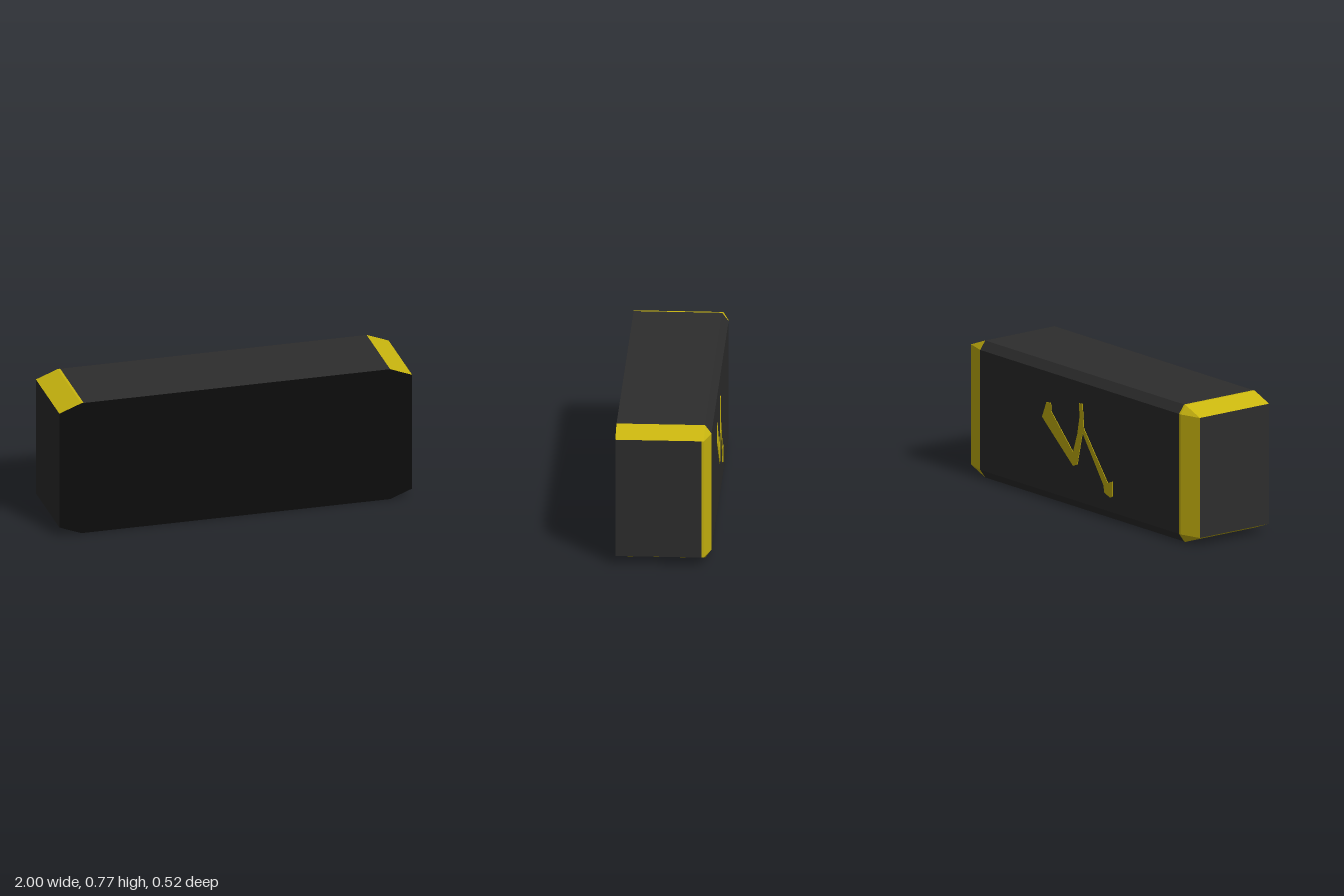
import * as THREE from 'three';

// Block outline: outer half width, chamfer start, heights and depths
const W = 1, C = 0.875, T = 0.775, YH = 0.727, YL = 0.048;
const F = 0.26, R = -0.225, B = -0.26;
const SEAM = -0.862;       // paint edge on the right end
const SIDE = -0.212;       // paint edge on the left end face
const CENTRE = new THREE.Vector3(0, T / 2, 0);

// Convex faces made from corner lists, wound to point away from the centre
function facesGeometry(faces) {
  const positions = [];
  for (const face of faces) {
    const p = face.map((c) => new THREE.Vector3(...c));
    const normal = p[1].clone().sub(p[0]).cross(p[2].clone().sub(p[0]));
    if (normal.dot(p[0].clone().sub(CENTRE)) < 0) p.reverse();
    for (let i = 1; i < p.length - 1; i++) {
      for (const v of [p[0], p[i], p[i + 1]]) positions.push(v.x, v.y, v.z);
    }
  }
  const g = new THREE.BufferGeometry();
  g.setAttribute('position', new THREE.Float32BufferAttribute(positions, 3));
  g.computeVertexNormals();
  return g;
}

// Rectangle swept along x between two (y, z) points
const alongX = (x0, x1, [ya, za], [yb, zb]) =>
  [[x0, ya, za], [x1, ya, za], [x1, yb, zb], [x0, yb, zb]];

// Rectangle swept along z between two (x, y) points
const alongZ = (z0, z1, [xa, ya], [xb, yb]) =>
  [[xa, ya, z0], [xa, ya, z1], [xb, yb, z1], [xb, yb, z0]];

// Rectangle swept along y between two (x, z) points
const alongY = (y0, y1, [xa, za], [xb, zb]) =>
  [[xa, y0, za], [xa, y1, za], [xb, y1, zb], [xb, y0, zb]];

export function createModel() {
  const charcoal = new THREE.MeshStandardMaterial({ color: 0x2d2d2d });
  charcoal.name = 'charcoal';
  const black = new THREE.MeshStandardMaterial({ color: 0x0c0c0c });
  black.name = 'black';
  const yellow = new THREE.MeshStandardMaterial({ color: 0xcab60f });
  yellow.name = 'yellow';

  const model = new THREE.Group();
  model.name = 'chamferedBlock';
  const add = (name, geometry, material) => {
    const mesh = new THREE.Mesh(geometry, material);
    mesh.name = name;
    model.add(mesh);
  };

  // Front panel
  add('frontPanel', facesGeometry([[
    [-C, 0, F], [C, 0, F], [W, YL, F], [W, YH, F],
    [C, T, F], [-C, T, F], [-W, YH, F], [-W, YL, F],
  ]]), black);

  // Charcoal panels: top, bottom, their back bevels, back and both ends
  add('bodyPanels', facesGeometry([
    alongX(SEAM, C, [T, F], [T, R]),
    alongX(SEAM, C, [0, F], [0, R]),
    alongX(SEAM, C, [T, R], [YH, B]),
    alongX(SEAM, C, [0, R], [YL, B]),
    alongX(SEAM, C, [YL, B], [YH, B]),
    alongY(YL, YH, [W, F], [W, SIDE]),
    alongY(YL, YH, [-W, F], [-W, R]),
  ]), charcoal);

  // Yellow bevels around each end
  for (const s of [1, -1]) {
    const faces = [alongY(YL, YH, [s * W, R], [s * C, B])];
    for (const [outer, inner] of [[T, YH], [0, YL]]) {
      faces.push(alongZ(R, F, [s * C, outer], [s * W, inner]));
      faces.push([[s * C, outer, R], [s * W, inner, R], [s * C, inner, B]]);
    }
    add(s > 0 ? 'leftBevels' : 'rightBevels', facesGeometry(faces), yellow);
  }

  // Narrow yellow margins beside the bevels
  add('bevelMargins', facesGeometry([
    alongX(-C, SEAM, [T, F], [T, R]),
    alongX(-C, SEAM, [0, F], [0, R]),
    alongX(-C, SEAM, [T, R], [YH, B]),
    alongX(-C, SEAM, [0, R], [YL, B]),
    alongX(-C, SEAM, [YL, B], [YH, B]),
    alongY(YL, YH, [W, SIDE], [W, R]),
  ]), yellow);

  // Painted zigzag on the back, drawn mirrored and turned to face -z
  const zigzag = [
    [0.294, 0.554], [0.256, 0.558], [0.25, 0.509], [0.061, 0.32], [0.023, 0.433],
    [0.004, 0.534], [0.01, 0.607], [-0.021, 0.609], [-0.034, 0.471], [-0.242, 0.208],
    [-0.286, 0.225], [-0.286, 0.14], [-0.261, 0.128], [-0.211, 0.149], [-0.205, 0.187],
    [-0.021, 0.445], [0.023, 0.257], [0.061, 0.241], [0.307, 0.442], [0.332, 0.464],
  ];
  const shape = new THREE.Shape(zigzag.map(([x, y]) => new THREE.Vector2(-x, y)));
  const plate = new THREE.ExtrudeGeometry(shape, { depth: 0.003, bevelEnabled: false });
  plate.rotateY(Math.PI);
  plate.translate(0, 0, B);
  add('backZigzag', plate, yellow);

  return model;
}
